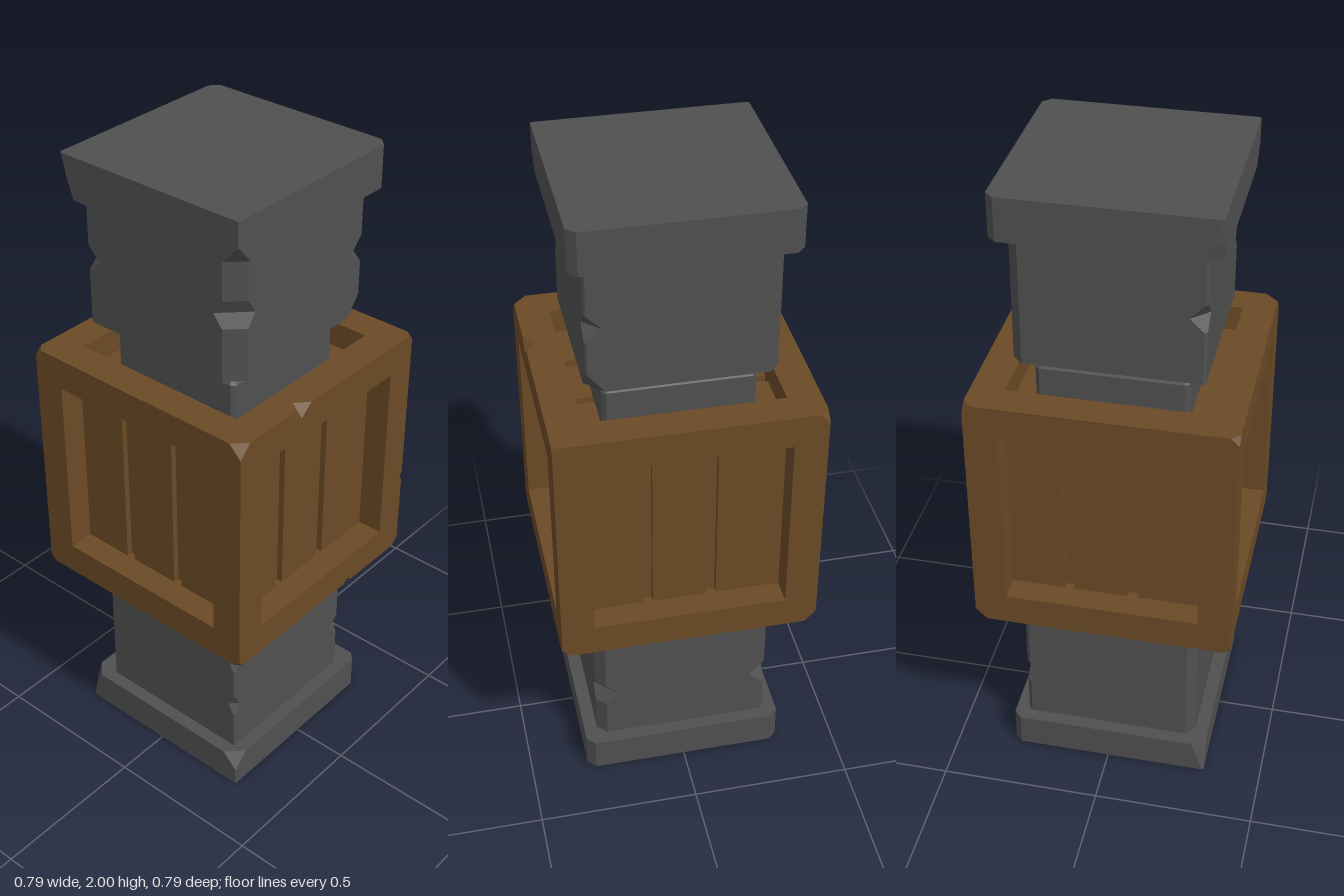
import * as THREE from 'three';

const stone = new THREE.MeshStandardMaterial({ color: 0x505050, flatShading: true });
const wood = new THREE.MeshStandardMaterial({ color: 0x6b4a26, flatShading: true });
const V = (x, y, z) => new THREE.Vector3(x, y, z);

function addMesh(parent, name, geometry, material) {
  const mesh = new THREE.Mesh(geometry, material);
  mesh.name = name;
  parent.add(mesh);
  return mesh;
}

// Collects flat triangles, each turned to face its hint direction.
function triangleSoup() {
  const pos = [];
  return {
    tri(a, b, c, hint) {
      const n = b.clone().sub(a).cross(c.clone().sub(a));
      for (const p of n.dot(hint) < 0 ? [a, c, b] : [a, b, c]) pos.push(p.x, p.y, p.z);
    },
    build() {
      const g = new THREE.BufferGeometry();
      g.setAttribute('position', new THREE.Float32BufferAttribute(pos, 3));
      g.computeVertexNormals();
      return g;
    },
  };
}

// Square block lofted through rings [y, half, chamfers];
// chamfer order: front left, back left, back right, front right.
function block(rings) {
  const pos = [];
  const push = (...pts) => pts.forEach((p) => pos.push(...p));
  const loops = rings.map(([y, h, chamfers]) => {
    const loop = [];
    chamfers.forEach((c, k) => {
      for (let [x, z] of [[h - c, h], [h, h - c]]) {
        for (let i = 0; i < k; i++) [x, z] = [z, -x];
        loop.push([x, y, z]);
      }
    });
    return loop;
  });
  for (let r = 0; r + 1 < loops.length; r++) {
    const a = loops[r], b = loops[r + 1];
    for (let i = 0; i < 8; i++) {
      const j = (i + 1) % 8;
      push(a[i], a[j], b[j], a[i], b[j], b[i]);
    }
  }
  const bottom = loops[0], top = loops[loops.length - 1];
  for (let i = 1; i < 7; i++) {
    push(top[0], top[i], top[i + 1]);
    push(bottom[0], bottom[i + 1], bottom[i]);
  }
  const g = new THREE.BufferGeometry();
  g.setAttribute('position', new THREE.Float32BufferAttribute(pos, 3));
  g.computeVertexNormals();
  return g;
}

// Crate dimensions
const H = 0.393, OPEN = 0.293, DEPTH = 0.08;
const faces = [
  [V(0, 0, 1), V(1, 0, 0)], [V(1, 0, 0), V(0, 0, -1)],
  [V(0, 0, -1), V(-1, 0, 0)], [V(-1, 0, 0), V(0, 0, 1)],
  [V(0, 1, 0), V(1, 0, 0)], [V(0, -1, 0), V(1, 0, 0)],
].map(([n, u]) => ({ n, u, v: n.clone().cross(u) }));

// Size of the broken-off tip at each corner of the crate
const cornerChip = { '-1,1,1': 0.04, '1,1,1': 0.018, '-1,1,-1': 0.024, '1,1,-1': 0.03,
  '-1,-1,1': 0.02, '1,-1,1': 0.026, '-1,-1,-1': 0.02, '1,-1,-1': 0.035 };

// Gouges in the crate's edges: two adjoining faces, centre, half width, depth
const gouges = [
  { f: [V(0, 0, 1), V(0, 1, 0)], at: V(-0.13, H, H), t: V(1, 0, 0), w: 0.04, d: 0.035 },
  { f: [V(0, 0, 1), V(0, -1, 0)], at: V(0.13, -H, H), t: V(1, 0, 0), w: 0.018, d: 0.014 },
  { f: [V(0, 0, 1), V(1, 0, 0)], at: V(H, -0.125, H), t: V(0, 1, 0), w: 0.015, d: 0.014 },
];

function crateFrame() {
  const soup = triangleSoup();
  for (const { n, u, v } of faces) {
    const at = (x, y, z = H) => n.clone().multiplyScalar(z).addScaledVector(u, x).addScaledVector(v, y);
    const flat = (p) => new THREE.Vector2(p.dot(u), p.dot(v));
    // Outline with clipped corners and gouges, walked edge by edge
    const outline = [];
    const ring = [u, v, u.clone().negate(), v.clone().negate()];
    ring.forEach((e, i) => {
      const along = ring[(i + 1) % 4];
      const chip = (s) => {
        const c = n.clone().add(e).addScaledVector(along, s);
        return cornerChip[[c.x, c.y, c.z].map(Math.round).join()];
      };
      const edge = [-H + chip(-1), H - chip(1)].map((k) =>
        n.clone().add(e).multiplyScalar(H).addScaledVector(along, k));
      for (const g of gouges) {
        if (Math.abs(g.at.dot(n) - H) > 1e-6 || Math.abs(g.at.dot(e) - H) > 1e-6) continue;
        const s = Math.sign(g.t.dot(along));
        edge.splice(1, 0, g.at.clone().addScaledVector(g.t, -s * g.w),
          g.at.clone().addScaledVector(e, -g.d), g.at.clone().addScaledVector(g.t, s * g.w));
      }
      outline.push(...edge.map(flat));
    });
    const hole = [[-1, -1], [-1, 1], [1, 1], [1, -1]].map(([x, y]) => new THREE.Vector2(x * OPEN, y * OPEN));
    const all = [...outline, ...hole].map((p) => at(p.x, p.y));
    for (const [a, b, c] of THREE.ShapeUtils.triangulateShape(outline, [hole])) soup.tri(all[a], all[b], all[c], n);
    // Inner walls of the opening
    hole.forEach((p, i) => {
      const q = hole[(i + 1) % 4];
      const [a, b, c, d] = [at(p.x, p.y), at(q.x, q.y), at(q.x, q.y, H - DEPTH - 0.02), at(p.x, p.y, H - DEPTH - 0.02)];
      const inward = at(-(p.x + q.x), -(p.y + q.y), 0);
      soup.tri(a, b, c, inward);
      soup.tri(a, c, d, inward);
    });
  }
  // Broken corner facets
  for (const [key, c] of Object.entries(cornerChip)) {
    const s = V(...key.split(',').map(Number));
    const [a, b, d] = ['x', 'y', 'z'].map((k) => {
      const p = s.clone().multiplyScalar(H);
      p[k] -= s[k] * c;
      return p;
    });
    soup.tri(a, b, d, s);
  }
  // Inner facets of the gouges
  for (const { f, at, t, w, d } of gouges) {
    const p = at.clone().addScaledVector(f[0], -d), q = at.clone().addScaledVector(f[1], -d);
    for (const s of [-1, 1]) soup.tri(at.clone().addScaledVector(t, s * w), p, q, f[0].clone().add(f[1]));
  }
  return soup.build();
}

export function createModel() {
  const model = new THREE.Group();
  model.name = 'cratePillar';

  // Stone base and cap, mirrored slabs with chipped corners
  const B = 0.318;
  addMesh(model, 'base', block([
    [0, B, [0.025, 0.025, 0.006, 0.002]],
    [0.06, B, [0.025, 0.025, 0.025, 0.002]],
    [0.11, B, [0.025, 0.025, 0.045, 0.05]],
  ]), stone);
  addMesh(model, 'cap', block([
    [1.87, B, [0.025, 0.025, 0.045, 0.05]],
    [1.925, B, [0.025, 0.025, 0.025, 0.002]],
    [2, B, [0.025, 0.025, 0.006, 0.002]],
  ]), stone);

  // Stone shafts, notched on their corners
  const S = 0.276;
  addMesh(model, 'lowerShaft', block([
    [0.11, S, [0.03, 0.012, 0.03, 0.004]],
    [0.24, S, [0.03, 0.012, 0.03, 0.004]],
    [0.28, S, [0.07, 0.05, 0.03, 0.025]],
    [0.32, S, [0.03, 0.012, 0.03, 0.004]],
    [0.42, S, [0.03, 0.012, 0.03, 0.004]],
    [0.515, S, [0.03, 0.012, 0.03, 0.05]],
  ]), stone);
  addMesh(model, 'upperShaft', block([
    [1.47, S, [0.055, 0.03, 0.008, 0.05]],
    [1.53, S, [0.006, 0.03, 0.008, 0.05]],
    [1.635, S, [0.006, 0.03, 0.008, 0.05]],
    [1.675, S, [0.05, 0.03, 0.05, 0.08]],
    [1.72, S, [0.006, 0.03, 0.008, 0.05]],
    [1.87, S, [0.006, 0.03, 0.008, 0.05]],
  ]), stone);

  // Tapered necks reaching into the crate's openings
  const c = [0.012, 0.012, 0.012, 0.012];
  addMesh(model, 'lowerNeck', block([[0.515, 0.19, c], [0.56, 0.224, c], [0.69, 0.224, c]]), stone);
  addMesh(model, 'upperNeck', block([[1.295, 0.224, c], [1.425, 0.224, c], [1.47, 0.19, c]]), stone);

  // Wooden crate: frame, core and three recessed planks per side
  const crate = new THREE.Group();
  crate.name = 'crate';
  crate.position.y = 0.992;
  model.add(crate);
  addMesh(crate, 'crateFrame', crateFrame(), wood);
  addMesh(crate, 'crateCore', new THREE.BoxGeometry(0.588, 0.588, 0.588), wood);
  for (const { n, u, v } of faces) {
    for (const [x0, x1] of [[-OPEN, -0.13], [-0.1, 0.065], [0.095, OPEN]]) {
      const plank = addMesh(crate, 'plank', new THREE.BoxGeometry(x1 - x0, OPEN * 2, 0.03), wood);
      plank.quaternion.setFromRotationMatrix(new THREE.Matrix4().makeBasis(u, v, n));
      plank.position.copy(n).multiplyScalar(H - DEPTH - 0.015).addScaledVector(u, (x0 + x1) / 2);
    }
  }
  return model;
}
